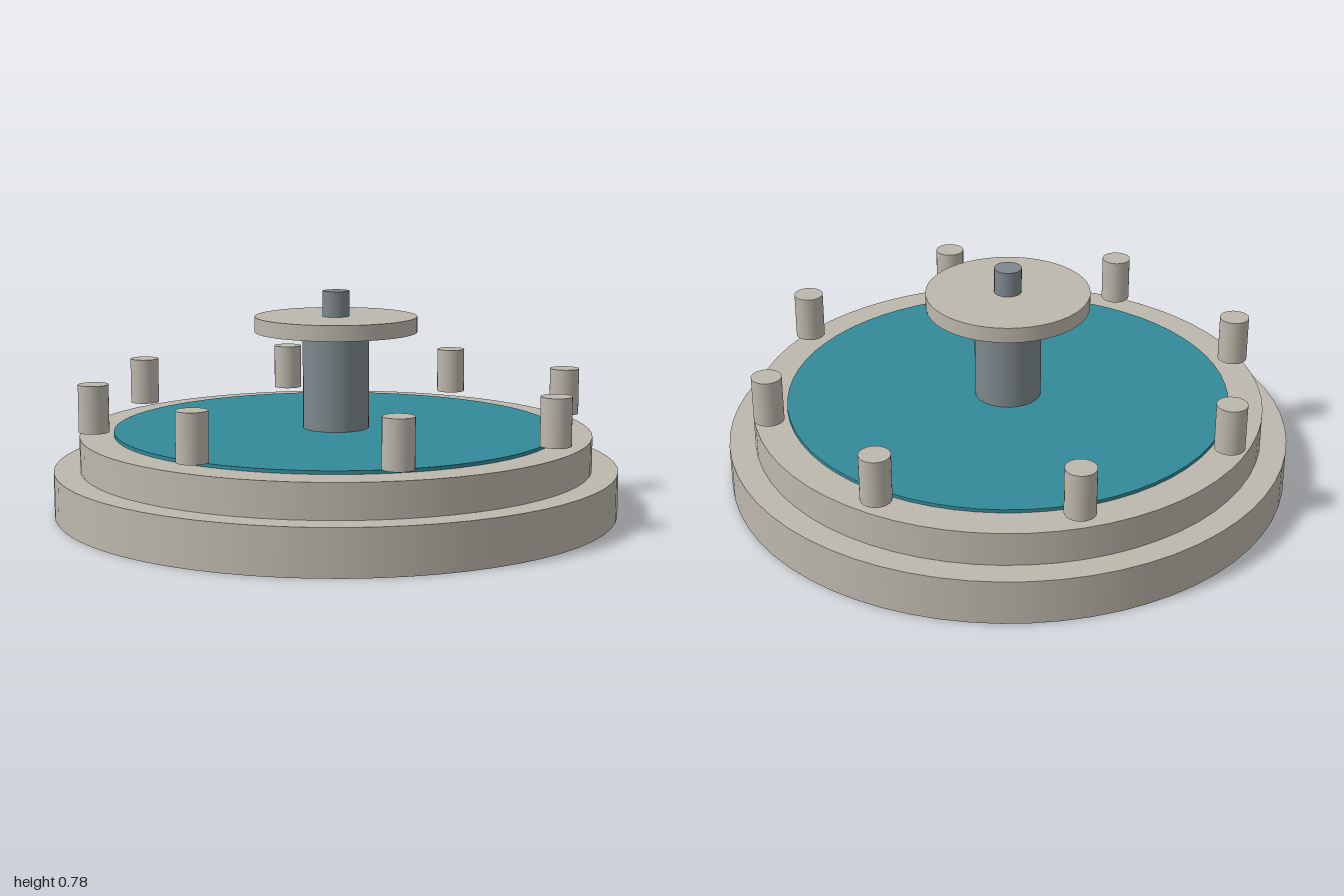
import * as THREE from 'three';

export function createModel() {
  const model = new THREE.Group();
  model.name = 'fountain';

  const material = (name, color) => {
    const m = new THREE.MeshStandardMaterial({ color });
    m.name = name;
    return m;
  };
  const stone = material('pale stone', 0xbdb8ad);
  const water = material('teal water', 0x338a9a);
  const metal = material('grey metal', 0x7d888c);

  // Upright cylinder between two heights
  const drum = (name, radius, bottom, top, mat, segments = 48, x = 0, z = 0) => {
    const geometry = new THREE.CylinderGeometry(radius, radius, top - bottom, segments);
    const mesh = new THREE.Mesh(geometry, mat);
    mesh.name = name;
    mesh.position.set(x, (bottom + top) / 2, z);
    model.add(mesh);
  };

  // Stepped basin and water surface
  drum('baseStep', 1, 0, 0.16, stone, 64);
  drum('basin', 0.908, 0.16, 0.28, stone, 64);
  drum('waterSurface', 0.788, 0.28, 0.292, water, 64);

  // Central column, upper dish and spout
  drum('column', 0.118, 0.292, 0.635, metal, 32);
  drum('upperDish', 0.288, 0.635, 0.69, stone);
  drum('spout', 0.048, 0.69, 0.78, metal, 24);

  // Ring of posts hovering just above the rim
  for (let i = 0; i < 8; i++) {
    const angle = (i * Math.PI) / 4;
    drum('rimPost', 0.053, 0.308, 0.475, stone, 24, 0.86 * Math.cos(angle), 0.86 * Math.sin(angle));
  }

  return model;
}
